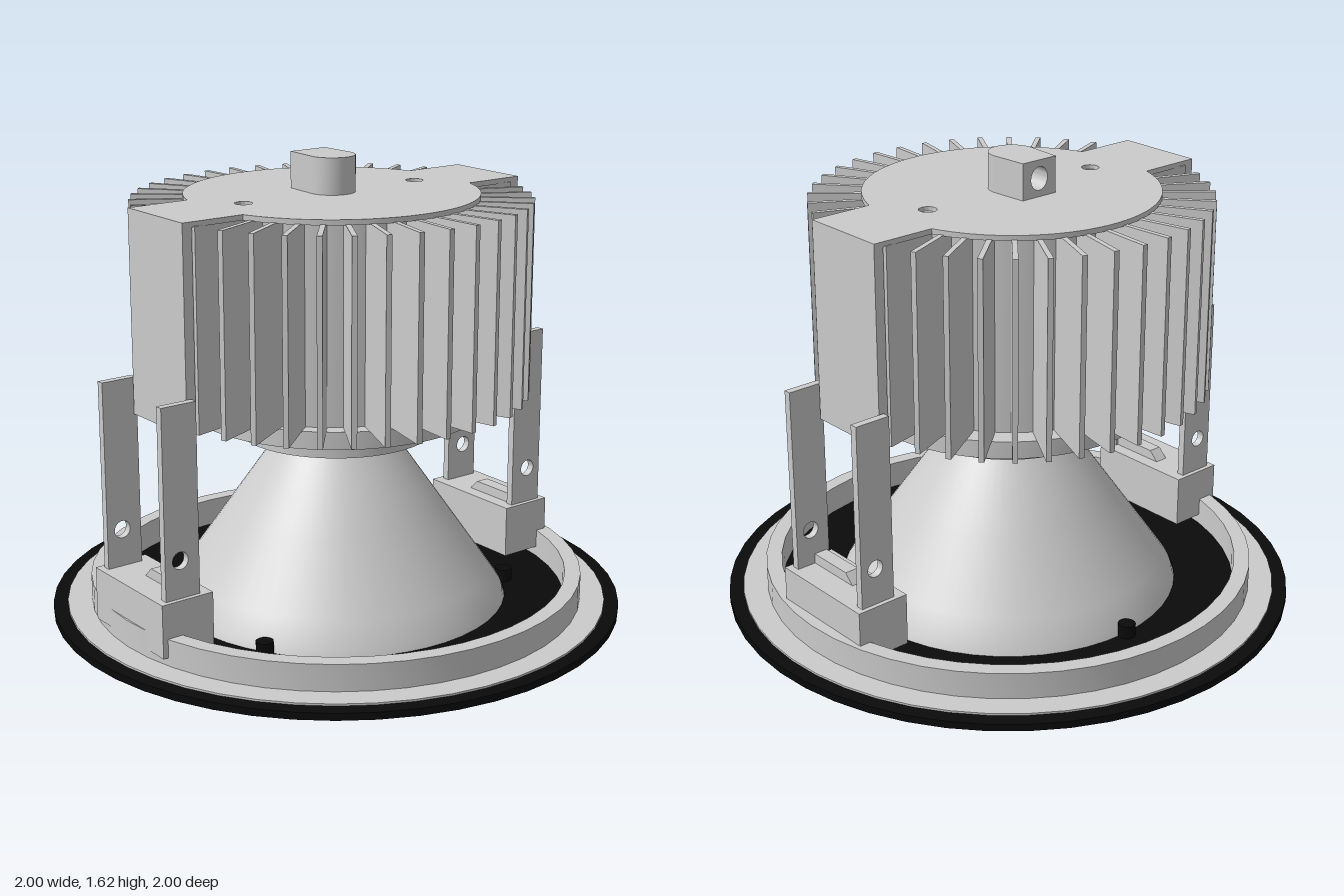
import * as THREE from 'three';
import { toCreasedNormals } from 'three/addons/utils/BufferGeometryUtils.js';

const grey = new THREE.MeshStandardMaterial({ color: 0xcccccc });
const greyThin = new THREE.MeshStandardMaterial({ color: 0xcccccc, side: THREE.DoubleSide });
const black = new THREE.MeshStandardMaterial({ color: 0x0a0a0a });

function add(parent, name, geometry, material = grey) {
  const mesh = new THREE.Mesh(toCreasedNormals(geometry, 0.5), material);
  mesh.name = name;
  parent.add(mesh);
  return mesh;
}

// Box given by its lower and upper limits
function box(x0, x1, y0, y1, z0, z1) {
  return new THREE.BoxGeometry(x1 - x0, y1 - y0, z1 - z0)
    .translate((x0 + x1) / 2, (y0 + y1) / 2, (z0 + z1) / 2);
}

function lathe(points, segments = 48) {
  return new THREE.LatheGeometry(points.map(([r, y]) => new THREE.Vector2(r, y)), segments);
}

function disc(r, y0, y1) {
  return new THREE.CylinderGeometry(r, r, y1 - y0, 64).translate(0, (y0 + y1) / 2, 0);
}

// Horizontal plate: the shape's y becomes z
function slab(shape, y0, y1) {
  return new THREE.ExtrudeGeometry(shape, { depth: y1 - y0, bevelEnabled: false, curveSegments: 32 })
    .rotateX(Math.PI / 2).translate(0, y1, 0);
}

function hole(x, y, r) {
  return new THREE.Path().absarc(x, y, r, 0, Math.PI * 2, true);
}

function buildTrim(root) {
  add(root, 'trimFlange', lathe([[0.6, 0], [0.93, 0], [1, 0.03], [1, 0.055], [0.6, 0.055], [0.6, 0]]), black);
  add(root, 'mountingRing', lathe([[0.81, 0.05], [0.95, 0.05], [0.95, 0.062], [0.865, 0.062],
    [0.865, 0.155], [0.81, 0.155], [0.81, 0.05]]));
  // Three small studs around the reflector's foot
  for (let i = 0; i < 3; i++) {
    const a = Math.PI / 6 + i * Math.PI * 2 / 3;
    const stud = new THREE.CylinderGeometry(0.03, 0.03, 0.05, 16);
    add(root, 'stud', stud, black).position.set(0.61 * Math.cos(a), 0.075, 0.61 * Math.sin(a));
  }
}

function buildReflector(root) {
  add(root, 'reflector', lathe([[0.605, 0.03], [0.59, 0.075], [0.535, 0.155], [0.375, 0.385],
    [0.215, 0.615], [0.18, 0.655]], 64), greyThin);
  // Lamp holder with a cable notch in its lower layer
  const r = 0.34;
  const notched = new THREE.Shape();
  notched.moveTo(0.27, 0.07);
  notched.lineTo(0.27, 0.21);
  notched.absarc(0, 0, r, 0.667, Math.PI * 2 + 0.207, false);
  notched.closePath();
  add(root, 'lampHolderLower', slab(notched, 0.655, 0.7));
  add(root, 'lampHolderUpper', disc(r, 0.7, 0.74));
  add(root, 'heatSinkBase', disc(0.51, 0.74, 0.8));
}

function buildHeatSink(root) {
  const sink = new THREE.Group();
  sink.name = 'heatSink';
  sink.position.x = -0.0175;
  root.add(sink);
  add(sink, 'core', disc(0.45, 0.8, 1.475));

  const count = 40;
  for (let i = 0; i < count; i++) {
    const fin = add(sink, 'fin', box(-0.009, 0.009, 0.8, 1.475, 0.42, 0.68));
    fin.rotation.y = (i + 0.5) * Math.PI * 2 / count;
  }

  // Round top plate with two arms and two screw holes
  const a = Math.asin(0.16 / 0.5);
  const plate = new THREE.Shape();
  plate.moveTo(0.7, -0.16);
  plate.lineTo(0.7, 0.16);
  plate.absarc(0, 0, 0.5, a, Math.PI - a, false);
  plate.lineTo(-0.7, 0.16);
  plate.lineTo(-0.7, -0.16);
  plate.absarc(0, 0, 0.5, Math.PI + a, Math.PI * 2 - a, false);
  plate.closePath();
  plate.holes.push(hole(0.36, 0, 0.03), hole(-0.36, 0, 0.03));
  add(sink, 'topPlate', slab(plate, 1.472, 1.49));
  for (const s of [-1, 1]) {
    add(sink, 'sideWall', box(-0.0175, 0.0175, 0.8, 1.475, -0.16, 0.16)).position.x = s * 0.6825;
  }

  // Cable gland: rounded front, drilled flat back
  add(sink, 'glandFront', new THREE.CylinderGeometry(0.08, 0.08, 0.128, 24, 1, false, -Math.PI / 2, Math.PI)
    .translate(0, 1.551, 0));
  const back = new THREE.Shape();
  back.moveTo(-0.08, 1.487);
  back.lineTo(0.08, 1.487);
  back.lineTo(0.08, 1.615);
  back.lineTo(-0.08, 1.615);
  back.closePath();
  back.holes.push(hole(0, 1.552, 0.04));
  const glandBack = new THREE.ExtrudeGeometry(back, { depth: 0.135, bevelEnabled: false, curveSegments: 16 });
  // Narrow the rear slightly
  const p = glandBack.translate(0, 0, -0.135).attributes.position;
  for (let i = 0; i < p.count; i++) if (p.getZ(i) < -0.1) p.setX(i, p.getX(i) * 0.9);
  glandBack.computeVertexNormals();
  add(sink, 'glandBack', glandBack);
  add(sink, 'glandBoreEnd', box(-0.05, 0.05, 1.5, 1.6, -0.02, 0.01));
}

function buildBracket(root, side) {
  const bracket = new THREE.Group();
  bracket.name = side > 0 ? 'leftBracket' : 'rightBracket';
  bracket.position.x = -0.0175;
  root.add(bracket);
  // Limits along x, mirrored for the other side
  const span = (a, b) => (side > 0 ? [a, b] : [-b, -a]);
  add(bracket, 'foot', box(...span(0.645, 0.84), 0.09, 0.275, -0.208, 0.208));

  const [x0, x1] = span(0.685, 0.815);
  const arm = new THREE.Shape();
  arm.moveTo(x0, 0.27);
  arm.lineTo(x1, 0.27);
  arm.lineTo(x1, 0.925);
  arm.lineTo(x0, 0.925);
  arm.closePath();
  arm.holes.push(hole(side * 0.757, 0.405, 0.03));
  for (const z of [-0.192, 0.165]) {
    add(bracket, 'arm', new THREE.ExtrudeGeometry(arm, { depth: 0.027, bevelEnabled: false, curveSegments: 16 })
      .translate(0, 0, z));
  }

  // Low chamfered tab between the arms
  const tab = new THREE.Shape();
  tab.moveTo(-0.165, 0.27);
  tab.lineTo(0.05, 0.27);
  tab.lineTo(0.01, 0.31);
  tab.lineTo(-0.165, 0.31);
  tab.closePath();
  add(bracket, 'tab', new THREE.ExtrudeGeometry(tab, { depth: 0.05, bevelEnabled: false })
    .rotateY(Math.PI / 2).translate(side * 0.72 - 0.025, 0, 0));
}

export function createModel() {
  const root = new THREE.Group();
  root.name = 'recessedDownlight';
  buildTrim(root);
  buildReflector(root);
  buildHeatSink(root);
  for (const side of [-1, 1]) buildBracket(root, side);
  return root;
}
